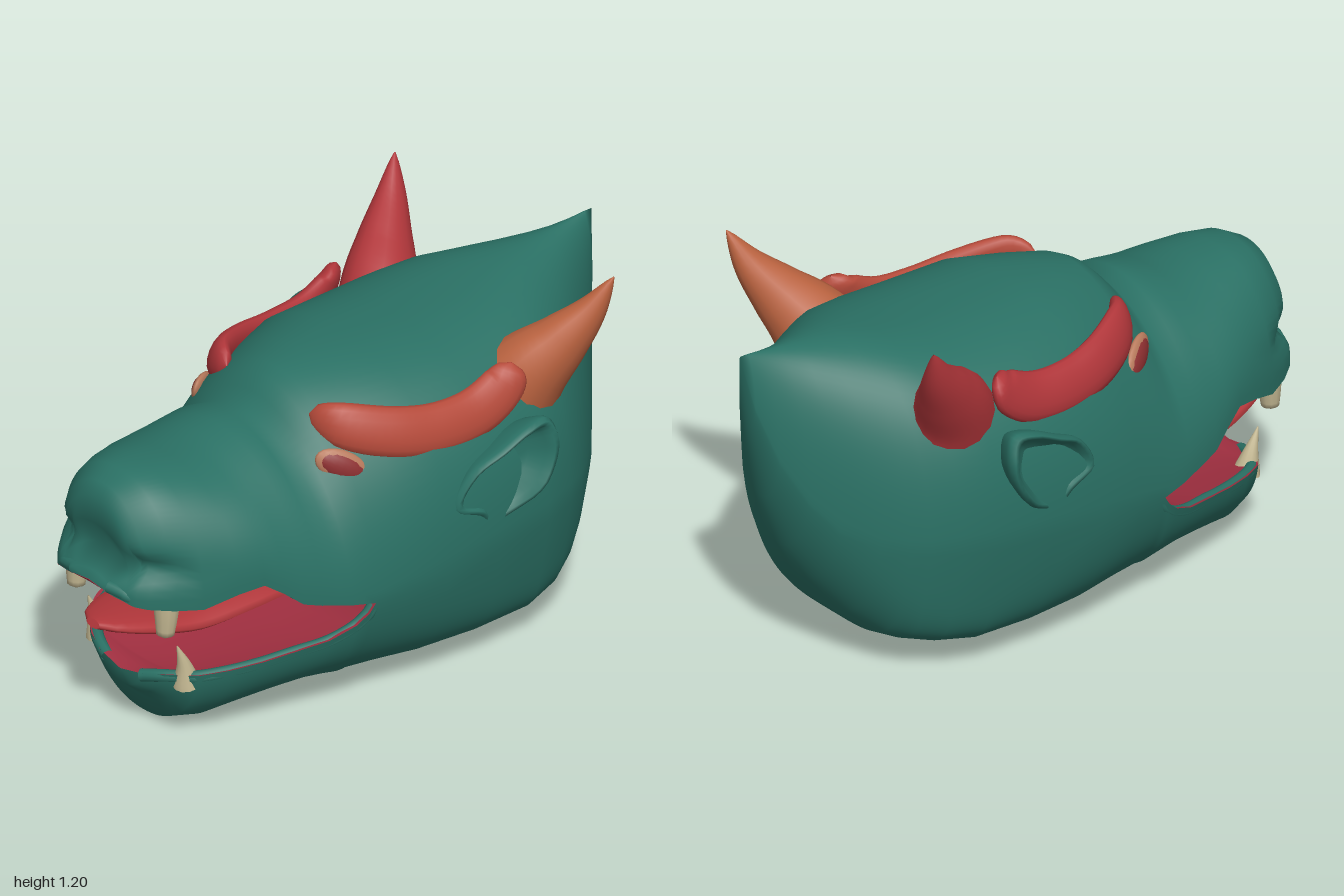
import * as THREE from 'three';
import { mergeVertices, mergeGeometries } from 'three/addons/utils/BufferGeometryUtils.js';

const paint = (color) => new THREE.MeshStandardMaterial({ color, side: THREE.DoubleSide });
const skin = paint(0x2a7064), red = paint(0xb0363a), orange = paint(0xb9623f), rust = paint(0xb54a3a);
const flesh = paint(0xa02f40), bone = paint(0xc4b892), iris = paint(0x8c2f30), lid = paint(0xb87a5c);

// Smooth skin over a grid of points; the order of rows sets the facing.
function loft(rows, flip = false) {
  const pos = [], index = [], n = rows[0].length;
  rows.forEach((row) => row.forEach((p) => pos.push(...p)));
  for (let i = 0; i < rows.length - 1; i++) {
    for (let j = 0; j < n - 1; j++) {
      const a = i * n + j, b = a + 1, c = a + n, d = c + 1;
      if (flip) index.push(a, b, c, b, d, c);
      else index.push(a, c, b, b, c, d);
    }
  }
  const geo = new THREE.BufferGeometry();
  geo.setAttribute('position', new THREE.Float32BufferAttribute(pos, 3));
  geo.setIndex(index);
  return geo;
}

function smooth(geo) {
  const g = mergeVertices(geo, 1e-4);
  g.computeVertexNormals();
  return g;
}

// Elliptical sweep along a curve; size(t) gives [half height, half width].
function sweep(points, size, up = [0, 1, 0], steps = 20, sides = 16) {
  const curve = new THREE.CatmullRomCurve3(points.map((p) => new THREE.Vector3(...p)));
  const rows = [];
  for (let i = 0; i <= steps; i++) {
    const t = i / steps, p = curve.getPoint(t), dir = curve.getTangent(t);
    const side = dir.clone().cross(new THREE.Vector3(...up)).normalize();
    const high = side.clone().cross(dir).normalize();
    const [h, w] = size(t), row = [];
    for (let j = 0; j <= sides; j++) {
      const a = (j / sides) * Math.PI * 2;
      row.push(p.clone().addScaledVector(high, h * Math.cos(a)).addScaledVector(side, w * Math.sin(a)).toArray());
    }
    rows.push(row);
  }
  return smooth(loft(rows));
}

// Stations: x, half width, seam height, outer height, roundness
const snout = [
  [-1, 0, 0.555, 0.555, 2], [-0.995, 0.1, 0.54, 0.58, 2], [-0.98, 0.15, 0.53, 0.64, 2.2],
  [-0.975, 0.165, 0.525, 0.74, 2.2], [-0.965, 0.18, 0.52, 0.82, 2.2], [-0.94, 0.21, 0.515, 0.865, 2.2],
  [-0.88, 0.26, 0.51, 0.895, 2.3], [-0.8, 0.305, 0.505, 0.9, 2.3], [-0.7, 0.35, 0.54, 0.89, 2.2],
  [-0.62, 0.375, 0.552, 0.885, 2.1], [-0.56, 0.395, 0.51, 0.9, 2], [-0.5, 0.415, 0.46, 0.915, 1.95],
  [-0.44, 0.43, 0.44, 0.925, 1.9], [-0.38, 0.445, 0.425, 0.912, 1.85],
  [-0.34, 0.455, 0.415, 0.96, 1.8], [-0.3, 0.463, 0.408, 1, 1.85],
];
const jaw = [
  [-0.872, 0, 0.2, 0.2, 2], [-0.865, 0.1, 0.22, 0.15, 2], [-0.84, 0.17, 0.238, 0.13, 2.3],
  [-0.8, 0.23, 0.245, 0.09, 2.4], [-0.78, 0.26, 0.25, 0.025, 2.2], [-0.7, 0.31, 0.26, 0.01, 2.2],
  [-0.6, 0.35, 0.27, 0.03, 2.3], [-0.5, 0.385, 0.285, 0.05, 2.5], [-0.4, 0.42, 0.3, 0.06, 2.6],
  [-0.32, 0.45, 0.335, 0.05, 2.7], [-0.28, 0.465, 0.37, 0.042, 2.8],
];
// Skull: x, half width, seam, top, top roundness, bottom, bottom roundness
const skull = [
  [-0.26, 0.47, 0.4, 1.02, 1.9, 0.04, 2.8], [-0.15, 0.49, 0.41, 1.038, 2.1, 0.04, 3],
  [0, 0.512, 0.42, 1.05, 2.4, 0.04, 3.5], [0.2, 0.515, 0.44, 1.04, 2.5, 0.06, 5],
  [0.4, 0.5, 0.45, 1.05, 2.5, 0.08, 7], [0.52, 0.465, 0.46, 1.065, 2.4, 0.095, 6.5],
  [0.6, 0.42, 0.46, 1.075, 2.2, 0.105, 5], [0.65, 0.385, 0.47, 1.08, 2.1, 0.118, 3.8],
  [0.72, 0.325, 0.49, 1.083, 2, 0.185, 2.8], [0.8, 0.235, 0.54, 1.087, 1.9, 0.3, 2.2],
  [0.86, 0.165, 0.62, 1.09, 1.8, 0.42, 2], [0.92, 0.095, 0.75, 1.095, 1.7, 0.6, 2],
  [0.97, 0.04, 0.92, 1.1, 1.6, 0.85, 2], [1, 0, 1.1, 1.1, 2, 1.1, 2],
];
const upper = [...snout, ...skull.map((s) => s.slice(0, 5))];
const lower = [...jaw, ...skull.map((s) => [s[0], s[1], s[2], s[5], s[6]])];

// Half cross-section; the lower side tapers and the nose is creased above the lip
function halfRing([x, w, seam, outer, n]) {
  const row = [], taper = outer < seam ? 0.14 : 0;
  const crease = 0.06 * THREE.MathUtils.clamp((-0.8 - x) / 0.15, 0, 1);
  for (let j = 0; j <= 48; j++) {
    const a = (j / 48) * Math.PI, c = Math.cos(a);
    const rise = Math.pow(Math.max(0, Math.sin(a)), 2 / n), y = seam + (outer - seam) * rise;
    row.push([x + crease * Math.exp(-(((y - 0.635) / 0.045) ** 2)), y,
      w * (1 - taper * rise) * Math.sign(c) * Math.pow(Math.abs(c), 2 / n)]);
  }
  return row;
}

// Inner mouth wall spanning from lip to lip, bowed by a share of the depth
function mouthWall(stations, bow) {
  return smooth(loft(stations.map(([x, w, seam, outer]) => {
    const row = [];
    for (let j = 0; j <= 12; j++) {
      const s = j / 6 - 1;
      row.push([x, seam + (outer - seam) * bow * (1 - s * s), s * w]);
    }
    return row;
  })));
}

// Cupped ear made of nested outlines, from the root out to the rim and back in
function earGeometry() {
  const outline = new THREE.CatmullRomCurve3([
    [0.03, 0.62], [0.09, 0.73], [0.19, 0.785], [0.3, 0.835], [0.37, 0.838],
    [0.395, 0.76], [0.365, 0.66], [0.28, 0.565], [0.17, 0.525], [0.12, 0.575],
  ].map(([x, y]) => new THREE.Vector3(x, y, 0)), true).getPoints(40);
  const rings = [[0.6, 0.4, 0], [0.86, 0.445, 0.4], [0.98, 0.47, 0.8], [1, 0.485, 0.95], [0.95, 0.498, 1],
    [0.87, 0.497, 1], [0.78, 0.485, 0.8], [0.6, 0.465, 0.4], [0.3, 0.455, 0.2], [0, 0.455, 0.1]];
  return smooth(loft(rings.map(([s, z, lean]) => outline.map((p) => {
    const low = THREE.MathUtils.smoothstep(p.y, 0.48, 0.64), high = THREE.MathUtils.smoothstep(p.y, 0.76, 0.86);
    const flare = Math.min(1, p.x / 0.3) * low * (1 - 0.3 * high);
    return [0.22 + (p.x - 0.22) * s, 0.68 + (p.y - 0.68) * s, z + lean * 0.068 * flare];
  }))));
}

export function createModel() {
  const model = new THREE.Group();
  const add = (name, geo, mat, parent = model) => {
    const mesh = new THREE.Mesh(geo, mat);
    mesh.name = name;
    parent.add(mesh);
    return mesh;
  };

  // Head with open jaws
  add('head', smooth(mergeGeometries([loft(upper.map(halfRing)), loft(lower.map(halfRing), true)])), skin);
  const corner = skull[0];
  const jawLine = [...jaw, [corner[0], corner[1], corner[2], corner[5]]];
  add('palate', mouthWall([...snout, corner], 0.15), flesh);
  add('mouthFloor', mouthWall(jawLine, 0.2), flesh);
  add('tongue', sweep([[-0.98, 0.395, 0], [-0.85, 0.375, 0], [-0.7, 0.36, 0], [-0.55, 0.385, 0],
    [-0.42, 0.415, 0], [-0.24, 0.405, 0]],
  (t) => [0.008 + 0.028 * Math.sin(Math.PI * Math.min(0.9, t + 0.08)), 0.03 + 0.28 * Math.pow(t, 0.6)]), red);

  // Paired parts, mirrored across z = 0
  const ear = earGeometry();
  for (const s of [1, -1]) {
    const side = s > 0 ? 'right' : 'left';
    const at = (pts) => pts.map(([x, y, z]) => [x, y, z * s]);

    add(side + 'Ear', ear, skin).scale.z = s;

    // Rounded lips along the mouth edges
    add(side + 'UpperLip', sweep(at([...snout.slice(1), corner].map(([x, w, y]) => [x + 0.01, y + 0.018, w - 0.022])),
      () => [0.02, 0.02], [0, 1, 0], 40, 10), skin);
    add(side + 'LowerLip', sweep(at(jawLine.slice(1).map(([x, w, y]) => [x + 0.01, y - 0.016, w - 0.022])),
      () => [0.02, 0.02], [0, 1, 0], 40, 10), skin);

    add(side + 'Horn', sweep(at([[0.43, 0.82, 0.29], [0.465, 0.9, 0.345], [0.53, 0.99, 0.405],
      [0.6, 1.09, 0.46], [0.655, 1.205, 0.505]]),
    (t) => { const r = 0.165 * Math.pow(1 - t, 0.85) + 0.002; return [r * 0.9, r]; }, [0, 0, 1]), s > 0 ? orange : red);

    add(side + 'Brow', sweep(at([[-0.285, 0.945, 0.19], [-0.235, 0.925, 0.28], [-0.1, 0.885, 0.36], [0.05, 0.86, 0.395],
      [0.2, 0.87, 0.405], [0.3, 0.925, 0.408], [0.335, 0.985, 0.405]]),
    (t) => {
      const k = Math.pow(Math.max(0, 1 - Math.pow(Math.abs(2 * t - 1), 4)), 0.5);
      return [0.077 * k + 0.002, 0.036 * k + 0.002];
    }, [0, 1, -0.4 * s], 32), s > 0 ? rust : red);

    // Slanted almond eye set in a pale lid
    const eye = new THREE.Group();
    eye.name = side + 'Eye';
    eye.position.set(-0.268, 0.812, 0.322 * s);
    eye.lookAt(-0.6, 0.95, 0.95 * s);
    model.add(eye);
    const lidMesh = add('eyelid', new THREE.SphereGeometry(1, 20, 12), lid, eye);
    lidMesh.scale.set(0.09, 0.05, 0.02);
    const ball = add('eyeball', new THREE.SphereGeometry(1, 20, 12), iris, eye);
    ball.scale.set(0.082, 0.043, 0.024);
    for (const m of [lidMesh, ball]) m.rotation.z = -0.5 * s;

    // Fangs
    add(side + 'UpperFang', sweep(at([[-0.86, 0.56, 0.2], [-0.865, 0.47, 0.205], [-0.87, 0.39, 0.205]]),
      (t) => { const r = 0.048 - 0.022 * t - (t === 1 ? 0.025 : 0); return [r, r]; }, [1, 0, 0], 10, 12), bone);
    add(side + 'LowerFang', sweep(at([[-0.78, 0.2, 0.2], [-0.795, 0.27, 0.205], [-0.822, 0.345, 0.205]]),
      (t) => { const r = 0.042 * (1 - t) + 0.002; return [r, r]; }, [1, 0, 0], 10, 12), bone);
  }
  return model;
}
